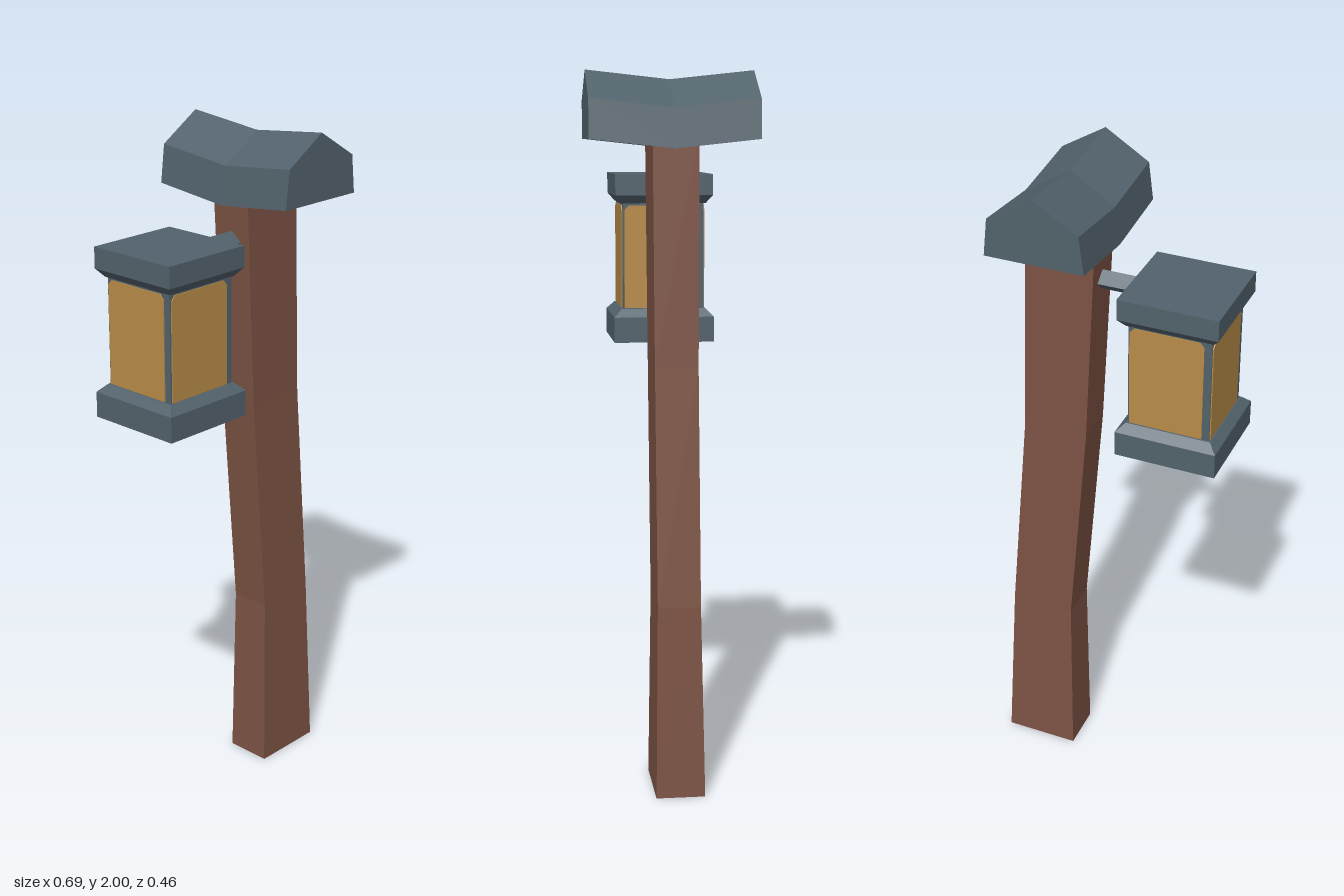
import * as THREE from 'three';

const slate = new THREE.MeshStandardMaterial({ color: 0x52626c });
slate.name = 'slate metal';
const wood = new THREE.MeshStandardMaterial({ color: 0x7d5344 });
wood.name = 'brown wood';
const amber = new THREE.MeshStandardMaterial({ color: 0xb98c48 });
amber.name = 'amber';

// Skins matching cross-sections into a faceted solid; the start cap is group 1
function loft(rings) {
  const pos = [];
  const n = rings[0].length;
  const tri = (a, b, c) => pos.push(...a, ...b, ...c);
  for (let i = 0; i < rings.length - 1; i++) {
    for (let j = 0; j < n; j++) {
      const k = (j + 1) % n;
      tri(rings[i][j], rings[i][k], rings[i + 1][k]);
      tri(rings[i][j], rings[i + 1][k], rings[i + 1][j]);
    }
  }
  const end = rings[rings.length - 1];
  for (let j = 1; j < n - 1; j++) tri(end[0], end[j], end[j + 1]);
  const bodyCount = pos.length / 3;
  for (let j = 1; j < n - 1; j++) tri(rings[0][0], rings[0][j + 1], rings[0][j]);
  const geo = new THREE.BufferGeometry();
  geo.setAttribute('position', new THREE.Float32BufferAttribute(pos, 3));
  geo.addGroup(0, bodyCount, 0);
  geo.addGroup(bodyCount, pos.length / 3 - bodyCount, 1);
  geo.computeVertexNormals();
  return geo;
}

// Horizontal rectangle at height y
const rect = (y, x0, x1, z0, z1) => [[x0, y, z1], [x1, y, z1], [x1, y, z0], [x0, y, z0]];

function part(name, geo, material, parent) {
  const mesh = new THREE.Mesh(geo, material);
  mesh.name = name;
  parent.add(mesh);
  return mesh;
}

export function createModel() {
  const model = new THREE.Group();
  model.name = 'lanternPost';

  // Bent post with a pale cut end underneath
  part('post', loft([
    rect(0, 0.122, 0.343, -0.077, 0.06),
    rect(0.54, 0.125, 0.314, -0.067, 0.053),
    rect(1.2, 0.067, 0.256, -0.066, 0.054),
    rect(1.84, 0.032, 0.231, -0.07, 0.057),
  ]), [wood, amber], model);

  // Sagging gabled cap, lower in the middle
  const gable = (z, dy) => [
    [-0.008, 1.815 + dy, z], [0.272, 1.815 + dy, z], [0.26, 1.922 + dy, z],
    [0.131, 2 + dy, z], [0.005, 1.922 + dy, z],
  ];
  part('roofCap', loft([gable(-0.233, 0), gable(0, -0.025), gable(0.231, 0)]), [slate, slate], model);

  // Diamond-section bracket arm
  const diamond = (x) => [0, 1, 2, 3].map((i) => {
    const a = i * Math.PI / 2;
    return [x, 1.681 + 0.029 * Math.cos(a), -0.006 + 0.031 * Math.sin(a)];
  });
  part('bracket', loft([diamond(-0.15), diamond(0.1)]), [slate, slate], model);

  // Lantern, built around its own vertical axis
  const lantern = new THREE.Group();
  lantern.name = 'lantern';
  lantern.position.set(-0.202, 0, -0.008);
  model.add(lantern);
  const sq = (y, r) => rect(y, -r, r, -r, r);
  part('lanternBase', loft([sq(1.232, 0.145), sq(1.305, 0.145), sq(1.328, 0.122)]), [slate, slate], lantern);
  part('lanternFrame', loft([sq(1.32, 0.117), sq(1.645, 0.117)]), [slate, slate], lantern);
  part('lanternLid', loft([
    sq(1.632, 0.122), sq(1.655, 0.141), sq(1.715, 0.141),
  ]), [slate, slate], lantern);

  // Four glowing panes with clipped upper corners
  const pane = new THREE.Shape([
    [-0.113, 1.33], [0.096, 1.33], [0.096, 1.612], [0.084, 1.626], [-0.1, 1.626], [-0.113, 1.612],
  ].map(([x, y]) => new THREE.Vector2(x, y)));
  const paneGeo = new THREE.ExtrudeGeometry(pane, { depth: 0.004, bevelEnabled: false });
  paneGeo.translate(0, 0, 0.116);
  for (let i = 0; i < 4; i++) {
    part('pane' + (i + 1), paneGeo, amber, lantern).rotation.y = i * Math.PI / 2;
  }

  return model;
}
